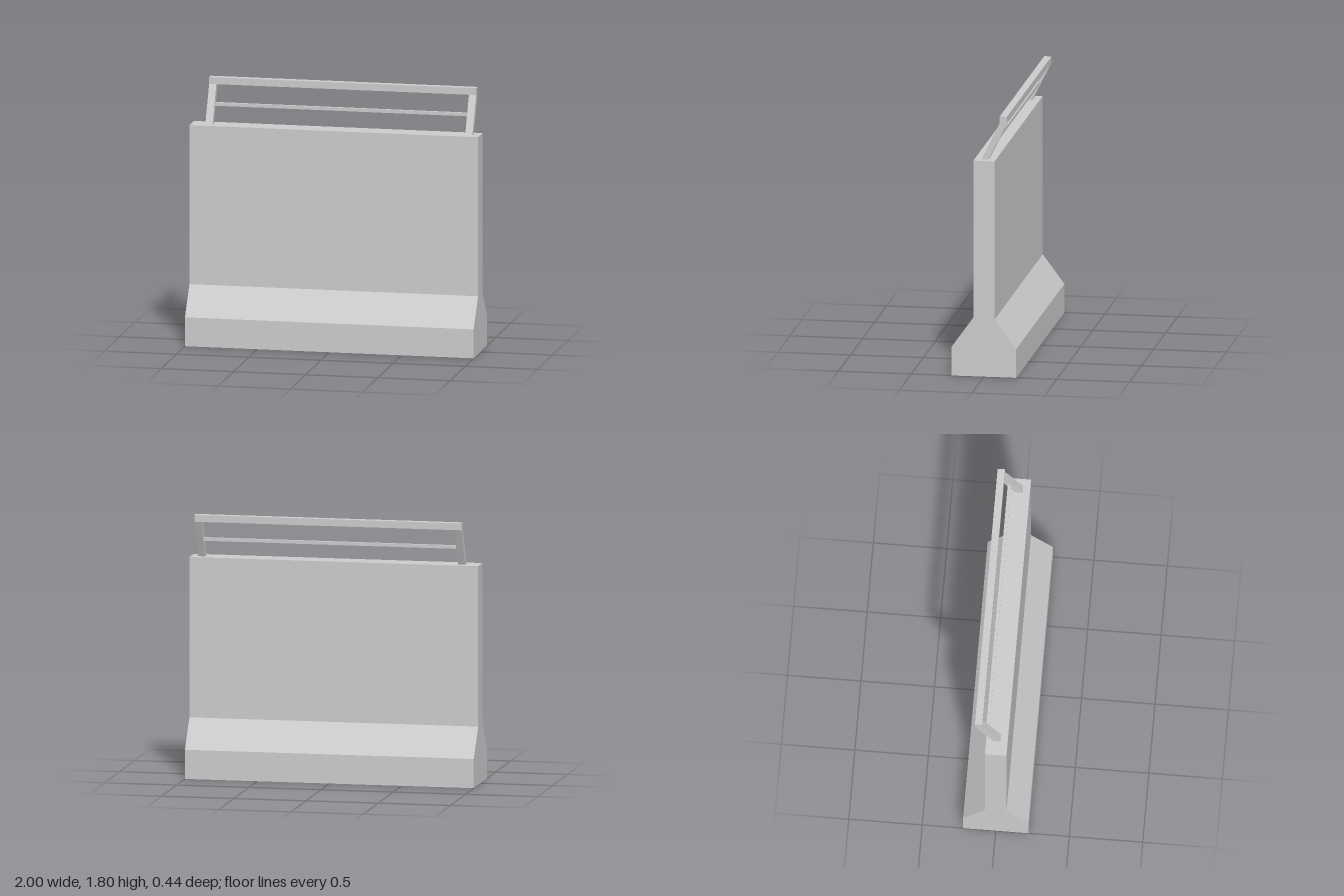
import * as THREE from 'three';

const material = new THREE.MeshStandardMaterial({ color: 0xcccccc, flatShading: true });

// Extrude a [z, y] side profile along x, from x0 to x1
function extrudeAlongX(name, profile, x0, x1) {
  const shape = new THREE.Shape(profile.map(([z, y]) => new THREE.Vector2(-z, y)));
  const geometry = new THREE.ExtrudeGeometry(shape, { depth: x1 - x0, bevelEnabled: false });
  geometry.rotateY(Math.PI / 2).translate(x0, 0, 0);
  const mesh = new THREE.Mesh(geometry, material);
  mesh.name = name;
  return mesh;
}

export function createModel() {
  const model = new THREE.Group();
  model.name = 'barrierWall';

  // Wall with a wide foot and sloped shoulders
  const half = [[0.222, 0], [0.222, 0.2], [0.073, 0.4], [0.073, 1.5]];
  const mirrored = half.map(([z, y]) => [-z, y]).reverse();
  model.add(extrudeAlongX('wall', [...half, ...mirrored], -1, 1));

  // Guard rail leaning to the back, set slightly off centre
  const rail = new THREE.Group();
  rail.name = 'guardRail';
  const post = [[0.025, 1.5], [-0.1, 1.755], [-0.15, 1.755], [-0.025, 1.5]];
  rail.add(extrudeAlongX('rightPost', post, -0.9, -0.85));
  rail.add(extrudeAlongX('leftPost', post, 0.9, 0.95));

  const topBar = [[-0.1, 1.755], [-0.1, 1.802], [-0.15, 1.802], [-0.15, 1.755]];
  rail.add(extrudeAlongX('topBar', topBar, -0.9, 0.95));

  const middleBar = [[-0.055, 1.615], [-0.055, 1.637], [-0.077, 1.637], [-0.077, 1.615]];
  rail.add(extrudeAlongX('middleBar', middleBar, -0.85, 0.9));
  model.add(rail);

  return model;
}
